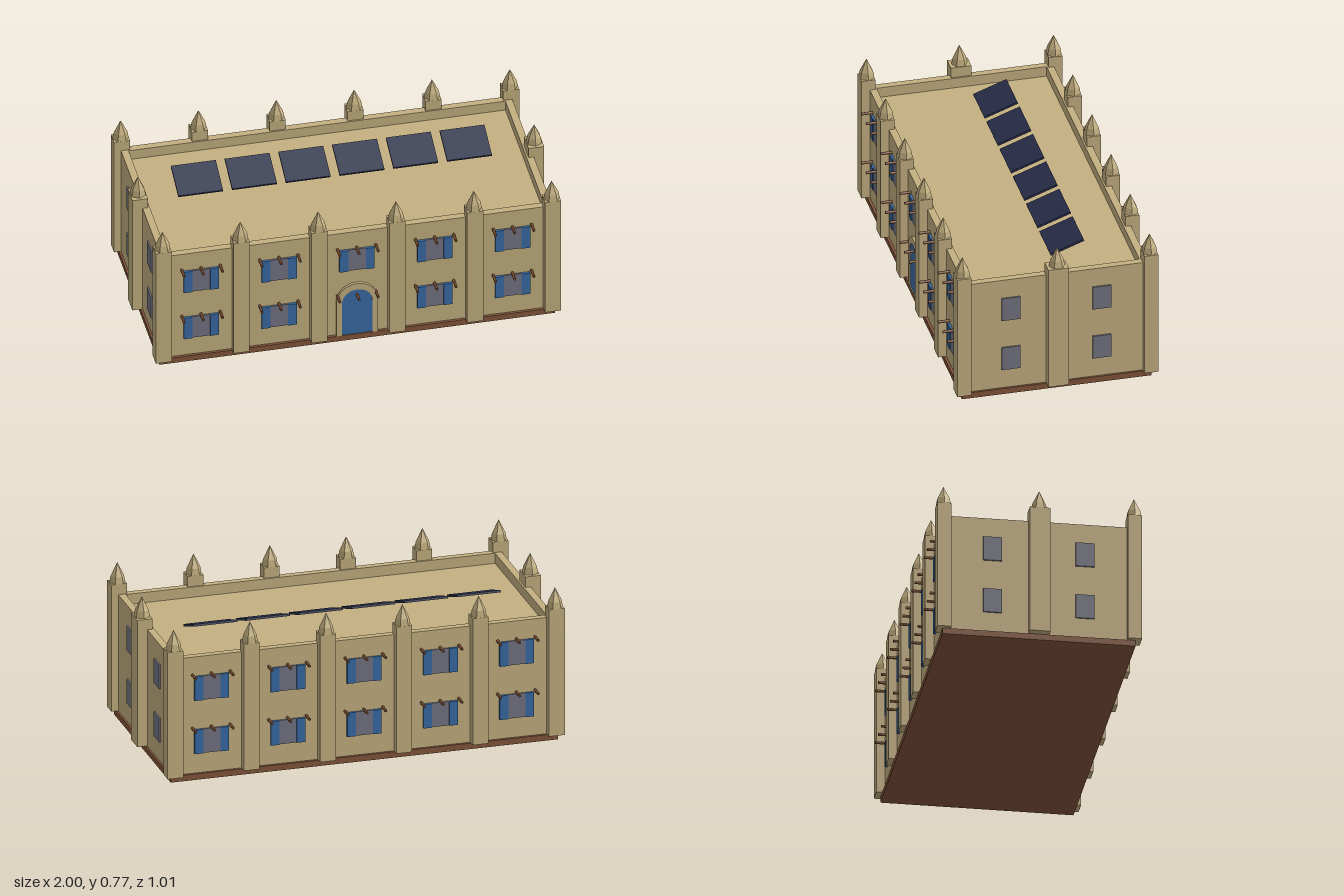
import * as THREE from 'three';

const mat = (name, color, extra = {}) => {
  const m = new THREE.MeshStandardMaterial({ color, ...extra });
  m.name = name;
  return m;
};

export function createModel() {
  const model = new THREE.Group();
  const stone = mat('sandstone', 0xc3af80);
  const brick = mat('baseBrown', 0x82553a);
  const wood = mat('beamBrown', 0x74482c);
  const blue = mat('paintBlue', 0x386ba4);
  const glass = mat('windowGrey', 0x737482);
  const solar = mat('panelNavy', 0x282e4a);

  const add = (name, geo, material, x, y, z, parent = model) => {
    const mesh = new THREE.Mesh(geo, material);
    mesh.name = name;
    mesh.position.set(x, y, z);
    parent.add(mesh);
    return mesh;
  };
  const box = (name, w, h, d, material, x, y, z, parent) =>
    add(name, new THREE.BoxGeometry(w, h, d), material, x, y, z, parent);

  // Plinth, body and parapet
  const W = 0.95, D = 0.45, ROOF = 0.57, TOP = 0.622, T = 0.035;
  box('plinth', 1.92, 0.03, 0.926, brick, 0, 0.015, 0);
  box('body', 2 * W, ROOF - 0.03, 2 * D, stone, 0, (ROOF + 0.03) / 2, 0);
  for (const s of [-1, 1]) {
    box('longParapet', 2 * W, TOP - ROOF, T, stone, 0, (TOP + ROOF) / 2, s * (D - T / 2));
    box('sideParapet', T, TOP - ROOF, 2 * (D - T), stone, s * (W - T / 2), (TOP + ROOF) / 2, 0);
  }

  // Piers with six-sided pinnacles
  const profile = [[0.039, 0], [0.033, 0.033], [0, 0.1]].map(p => new THREE.Vector2(...p));
  const spire = new THREE.LatheGeometry(profile, 6).toNonIndexed();
  spire.computeVertexNormals();
  const pier = (x, z, w, d, turn) => {
    const g = new THREE.Group();
    g.name = 'pier';
    g.position.set(x, 0, z);
    box('pierShaft', w, 0.645, d, stone, 0, 0.3525, 0, g);
    add('pinnacle', spire, stone, 0, 0.675, 0, g).rotation.y = turn;
    model.add(g);
  };
  for (const s of [-1, 1]) {
    for (let i = 0; i < 6; i++) pier(-0.945 + i * 0.378, s * 0.457, 0.078, 0.068, Math.PI / 2);
    pier(s * 0.962, 0, 0.076, 0.1, 0);
  }

  // Window bays with shutters and projecting log ends, on front and back
  const log = new THREE.CylinderGeometry(0.007, 0.007, 0.06, 8).rotateX(Math.PI / 2);
  const bay = (x, y, parent, hasWindow) => {
    const g = new THREE.Group();
    g.name = 'windowBay';
    g.position.set(x, y, D);
    if (hasWindow) {
      box('windowPane', 0.086, 0.122, 0.008, glass, 0, 0, 0.004, g);
      for (const s of [-1, 1]) box('shutter', 0.042, 0.122, 0.014, blue, s * 0.064, 0, 0.006, g);
    }
    for (const dx of [-0.093, 0, 0.093]) add('logEnd', log, wood, dx, 0.068, 0.026, g);
    parent.add(g);
  };
  for (const front of [true, false]) {
    const facade = new THREE.Group();
    facade.name = front ? 'frontFacade' : 'backFacade';
    if (!front) facade.rotation.y = Math.PI;
    for (let i = -2; i <= 2; i++) {
      bay(i * 0.378, 0.463, facade, true);
      bay(i * 0.378, 0.192, facade, !(front && i === 0));
    }
    model.add(facade);
  }

  // Plain side windows
  for (const s of [-1, 1])
    for (const z of [-0.222, 0.222])
      for (const y of [0.463, 0.192])
        box('sideWindow', 0.008, 0.122, 0.09, glass, s * (W + 0.004), y, z);

  // Arched door and its stone surround
  const arch = (r, spring, ShapeType) => {
    const s = new ShapeType();
    s.moveTo(-r, 0.03);
    s.lineTo(r, 0.03);
    s.lineTo(r, spring);
    s.absarc(0, spring, r, 0, Math.PI, false);
    s.lineTo(-r, 0.03);
    return s;
  };
  const extrude = (shape, depth) =>
    new THREE.ExtrudeGeometry(shape, { depth, bevelEnabled: false, curveSegments: 20 });
  const surround = arch(0.1, 0.225, THREE.Shape);
  surround.holes.push(arch(0.074, 0.217, THREE.Path));
  add('doorSurround', extrude(surround, 0.014), stone, 0, 0, D);
  add('door', extrude(arch(0.074, 0.217, THREE.Shape), 0.009), blue, 0, 0, D);

  // Row of tilted solar panels
  for (let i = 0; i < 6; i++) {
    const p = box('solarPanel', 0.217, 0.011, 0.174, solar, -0.6525 + i * 0.261, 0.642, -0.101);
    p.rotation.x = 0.35;
  }
  return model;
}
